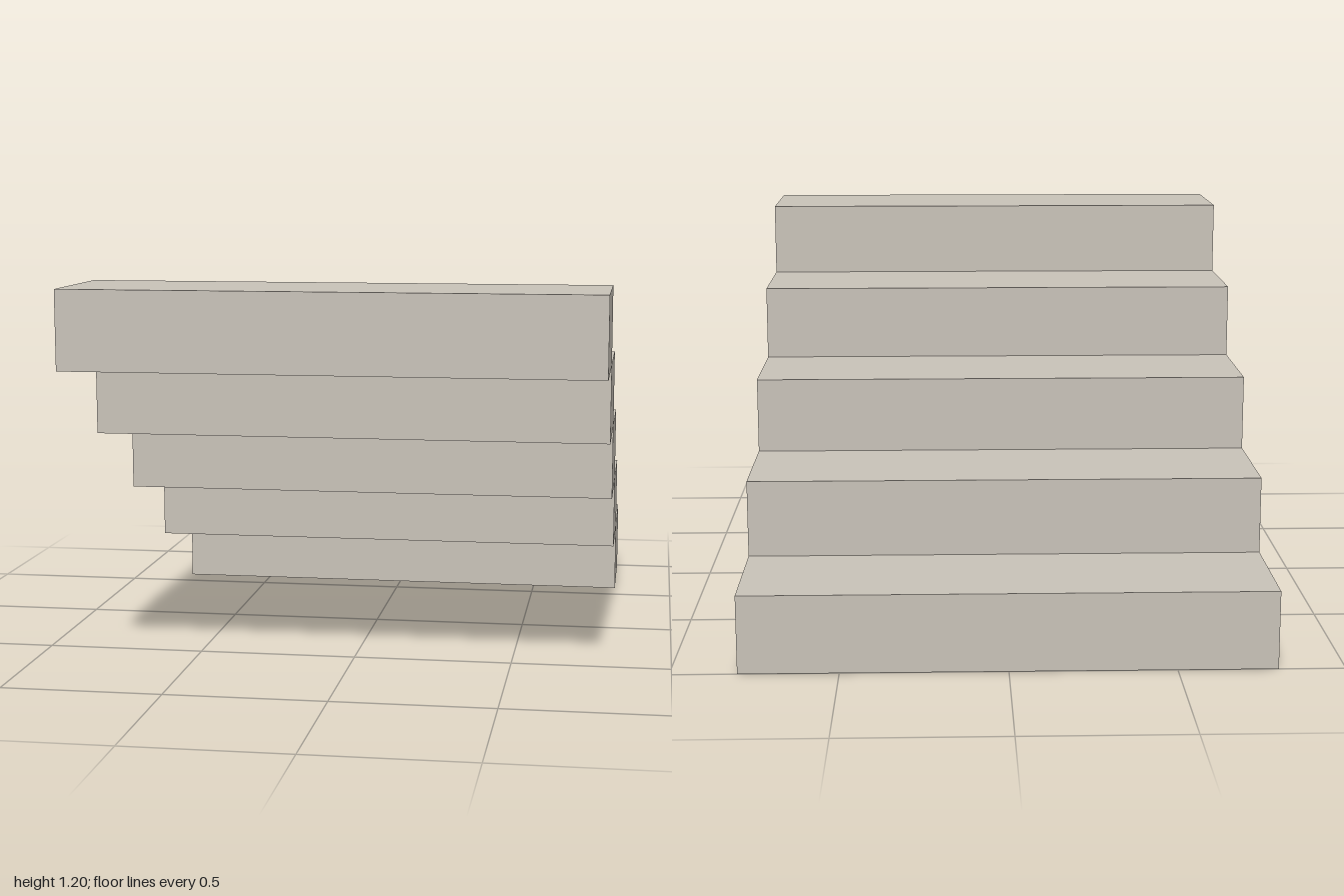
import * as THREE from 'three';

const STEPS = 5, WIDTH = 1.6, RISE = 0.24, RUN = 0.4;

export function createModel() {
  const stairs = new THREE.Group();
  stairs.name = 'stairs';

  const stone = new THREE.MeshStandardMaterial({ color: 0xc8c2b8 });
  stone.name = 'warm grey stone';

  // Solid block steps, climbing from the back to the front
  const block = new THREE.BoxGeometry(WIDTH, RISE, RUN);
  for (let i = 0; i < STEPS; i++) {
    const step = new THREE.Mesh(block, stone);
    step.name = `step${i + 1}`;
    step.position.set(0, (i + 0.5) * RISE, (i - (STEPS - 1) / 2) * RUN);
    stairs.add(step);
  }
  return stairs;
}
